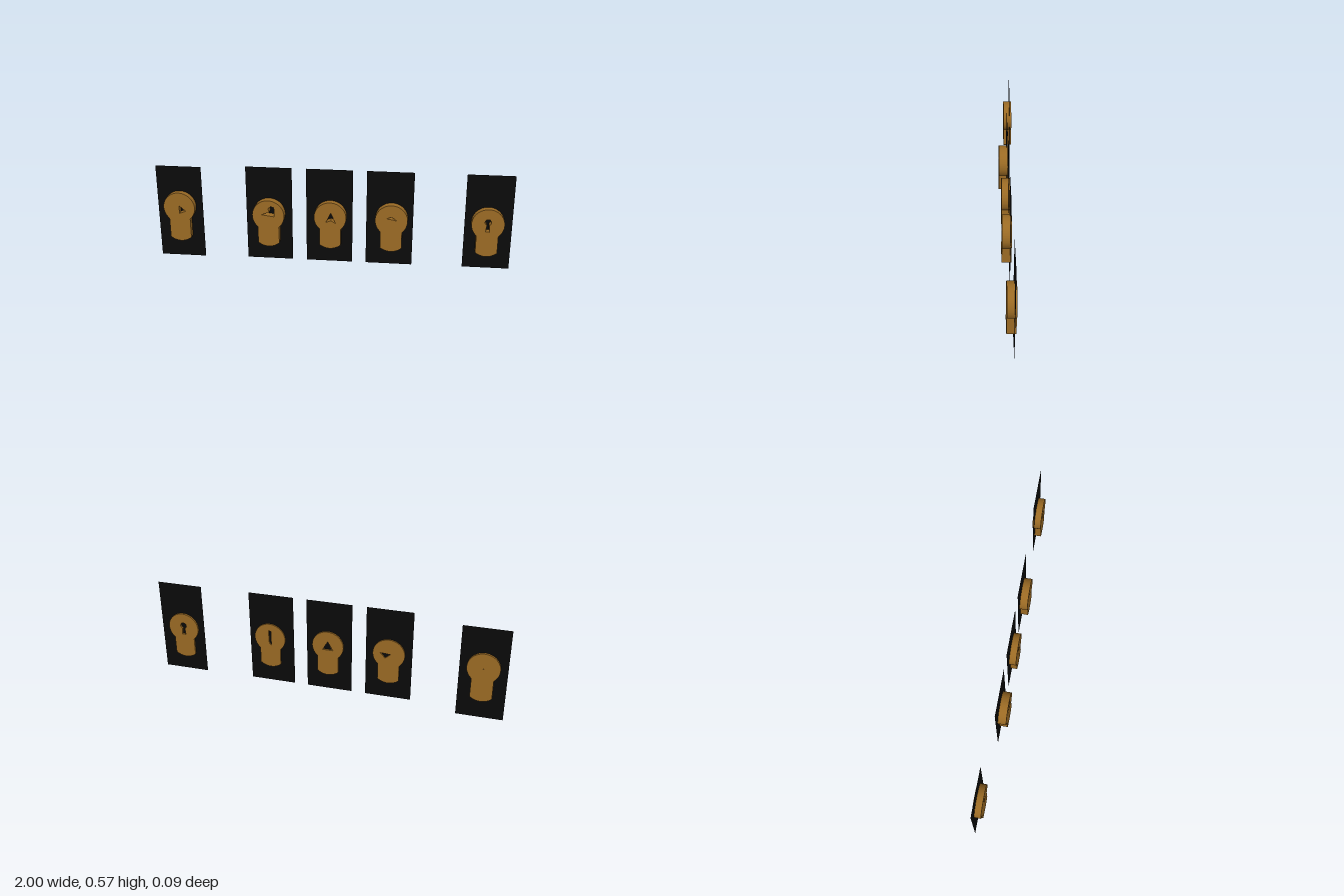
import * as THREE from 'three';

const brass = new THREE.MeshStandardMaterial({ color: 0x9a6a24 });
const black = new THREE.MeshStandardMaterial({ color: 0x0a0a0a, side: THREE.DoubleSide });

const R = 0.09;      // head radius
const STEM = 0.06;   // half width of the stem

// Round head above a straight stem that ends in a shallow arc
function bodyShape(bottom) {
  const a = Math.asin(STEM / R);
  const drop = R * Math.cos(a);
  const s = new THREE.Shape();
  s.absarc(0, 0, R, -Math.PI / 2 + a, 1.5 * Math.PI - a, false);
  s.lineTo(-STEM, bottom + R - drop);
  s.absarc(0, bottom + R, R, -Math.PI / 2 - a, -Math.PI / 2 + a, false);
  s.closePath();
  return s;
}

// One layer of the lock body, pierced by a polygonal key opening
function layer(name, bottom, hole, z0, z1) {
  const shape = bodyShape(bottom);
  shape.holes.push(new THREE.Path(hole.map(([x, y]) => new THREE.Vector2(x, y))));
  const geo = new THREE.ExtrudeGeometry(shape, { depth: z1 - z0, bevelEnabled: false, curveSegments: 24 });
  geo.translate(0, 0, z0);
  const mesh = new THREE.Mesh(geo, brass);
  mesh.name = name;
  return mesh;
}

// Classic key opening: round top with a flaring slot
function keyOpening() {
  const pts = [[-0.011, -0.042], [0.011, -0.042]];
  for (let i = 0; i <= 10; i++) {
    const t = -1.2 + (i / 10) * (Math.PI + 2.4);
    pts.push([0.018 * Math.cos(t), 0.014 + 0.018 * Math.sin(t)]);
  }
  return pts;
}

// x, y: head centre; px, py: plate centre; z: back, plate, front
const locks = [
  { x: -0.87, y: 0.312, px: -0.87, py: 0.275, z: [-0.045, -0.032, 0.004], bottom: -0.204, tilt: 0,
    front: [[0, 0.012], [0, -0.035], [0.037, -0.02]],
    back: [[-0.003, -0.003], [0.003, -0.003], [0, 0.003]] },
  { x: -0.35, y: 0.302, px: -0.35, py: 0.298, z: [-0.011, -0.003, 0.043], bottom: -0.185, tilt: -0.014,
    front: [[-0.038, 0.005], [0.034, -0.005], [0.033, 0.05], [0.016, 0.056], [0, 0.042], [0.006, 0.022]],
    back: [[-0.012, 0], [0.02, -0.026], [0.05, 0.005]] },
  { x: -0.003, y: 0.302, px: -0.01, py: 0.298, z: [-0.013, -0.003, 0.036], bottom: -0.185, tilt: -0.014,
    front: [[0.004, 0.028], [-0.023, -0.028], [0.004, -0.016], [0.032, -0.032]],
    back: [[0, 0.028], [-0.03, -0.024], [0.03, -0.024]] },
  { x: 0.338, y: 0.302, px: 0.327, py: 0.298, z: [-0.011, -0.003, 0.041], bottom: -0.185, tilt: -0.014,
    front: [[-0.027, 0.011], [0.01, 0.006], [0.032, 0], [0, 0.023]],
    back: [[-0.007, -0.045], [0.005, -0.03], [0.008, 0.05], [-0.007, 0.045]] },
  { x: 0.866, y: 0.298, px: 0.87, py: 0.298, z: [-0.019, -0.008, 0.03], bottom: -0.19, tilt: -0.014,
    front: keyOpening(), back: keyOpening() },
];

export function createModel() {
  const model = new THREE.Group();
  model.name = 'lockSet';
  locks.forEach((l, i) => {
    const g = new THREE.Group();
    g.name = `lock${i + 1}`;
    g.position.set(l.x, l.y, 0);
    g.rotation.x = l.tilt;
    const [back, mid, front] = l.z;

    // Thin plate running through the lock body
    const plate = new THREE.Mesh(new THREE.PlaneGeometry(0.26, 0.55), black);
    plate.name = 'backPlate';
    plate.position.set(l.px - l.x, l.py - l.y, mid);

    g.add(plate,
      layer('frontBody', l.bottom, l.front, mid, front),
      layer('rearBody', l.bottom, l.back, back, mid));
    model.add(g);
  });
  return model;
}
